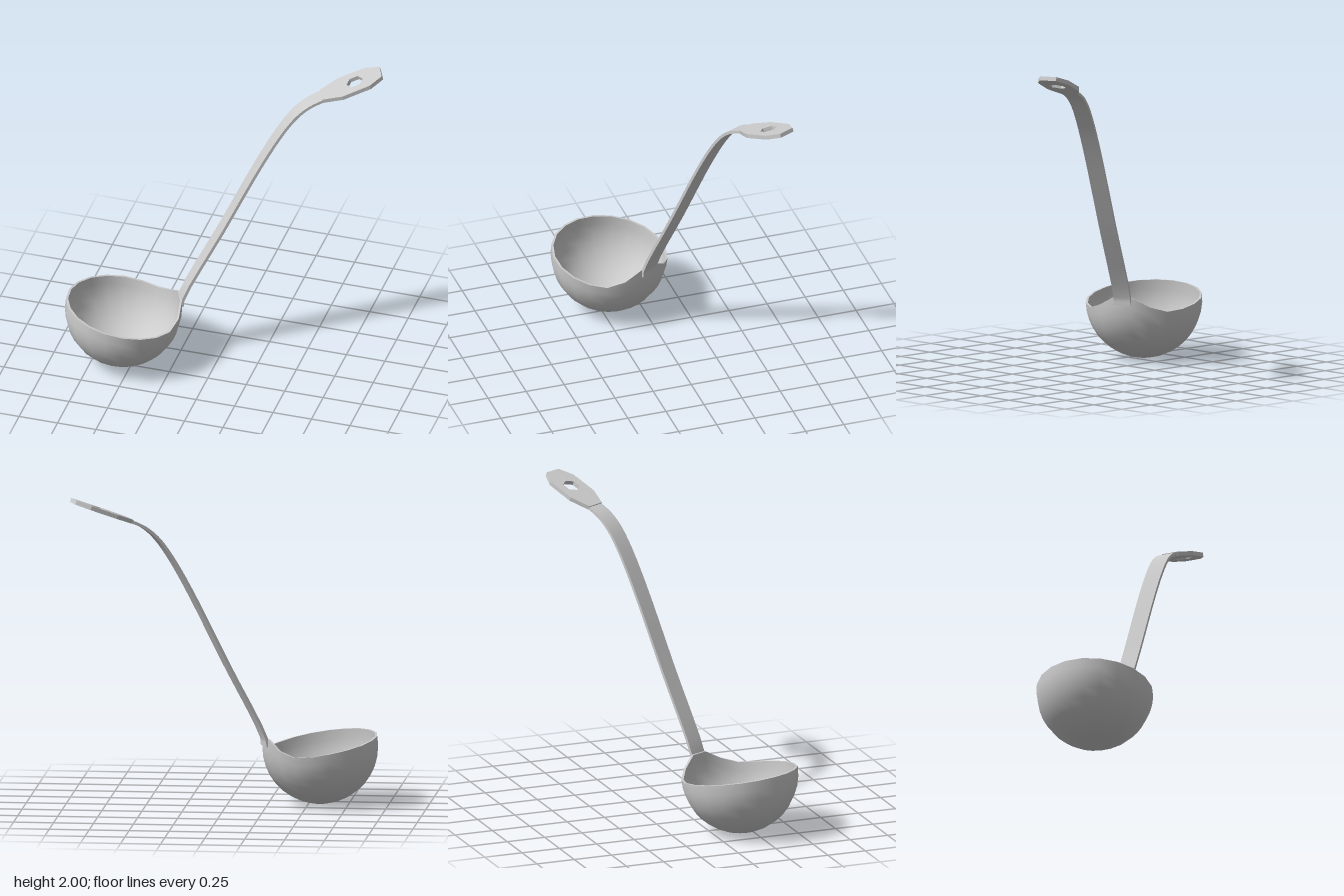
import * as THREE from 'three';
import { toCreasedNormals } from 'three/addons/utils/BufferGeometryUtils.js';

const R = 0.365;        // bowl radius
const WALL = 0.014;     // bowl wall
const SIDES = 20;
const ROWS = 10;

const material = new THREE.MeshStandardMaterial({ color: 0xcccccc });

function part(name, geometry, crease = 0.6) {
  const mesh = new THREE.Mesh(toCreasedNormals(geometry, crease), material);
  mesh.name = name;
  return mesh;
}

// Rim slopes down towards the handle, then sweeps up to meet it
function rimHeight(side, angle) {
  const fromHandle = Math.min(side, SIDES - 1 - side);
  return [0.43, 0.37, 0.337][fromHandle] ?? 0.375 - 0.172 * R * Math.cos(angle);
}

// Thick hemisphere: outer skin up to the rim, inner skin back down
function bowlGeometry() {
  const position = [], index = [];
  const rings = 2 * (ROWS + 1);
  for (let k = 0; k < rings; k++) {
    const outer = k <= ROWS;
    const t = (outer ? k : rings - 1 - k) / ROWS;
    const r = outer ? R : R - WALL;
    for (let s = 0; s < SIDES; s++) {
      const a = ((s + 0.5) / SIDES) * Math.PI * 2;
      const theta = t * Math.acos((R - rimHeight(s, a)) / r);
      const atHandle = s === 0 || s === SIDES - 1;
      const radial = r * (atHandle && theta > Math.PI / 2 ? 1 : Math.sin(theta));
      position.push(radial * Math.cos(a), R - r * Math.cos(theta), radial * Math.sin(a));
    }
  }
  for (let k = 0; k < rings - 1; k++) {
    for (let s = 0; s < SIDES; s++) {
      const n = (s + 1) % SIDES;
      const a = k * SIDES + s, b = k * SIDES + n;
      const c = a + SIDES, d = b + SIDES;
      if (k > 0) index.push(a, d, b);            // skip collapsed faces at the poles
      if (k < rings - 2) index.push(a, c, d);
      else index.push(a, c, b);
    }
  }
  // remove the collapsed pole triangles of the last ring
  const g = new THREE.BufferGeometry();
  g.setAttribute('position', new THREE.Float32BufferAttribute(position, 3));
  g.setIndex(index);
  return g;
}

// Flat strip bent along a side profile
function shaftGeometry() {
  const width = 0.11, half = 0.009;
  const curve = new THREE.CatmullRomCurve3([
    [0.362, 0.38], [0.368, 0.43], [0.62, 0.92], [0.87, 1.41], [1.0, 1.63],
    [1.085, 1.74], [1.165, 1.805], [1.26, 1.85],
  ].map(([u, y]) => new THREE.Vector3(u, y, 0)), false, 'centripetal');
  const upper = [], lower = [];
  for (let i = 0; i <= 28; i++) {
    const p = curve.getPoint(i / 28), d = curve.getTangent(i / 28);
    upper.push(new THREE.Vector2(p.x - d.y * half, p.y + d.x * half));
    lower.unshift(new THREE.Vector2(p.x + d.y * half, p.y - d.x * half));
  }
  const g = new THREE.ExtrudeGeometry(new THREE.Shape([...upper, ...lower]),
    { depth: width, bevelEnabled: false });
  return g.translate(0, 0, -width / 2);
}

// Angular hanging plate with a hexagonal hole
function plateGeometry() {
  const depth = 0.026;
  const edge = [[0, 0.056], [0.126, 0.104], [0.309, 0.102], [0.398, 0.053]];
  const outline = [
    ...edge.map(([u, w]) => new THREE.Vector2(u, -w)),
    ...edge.reverse().map(([u, w]) => new THREE.Vector2(u, w)),
  ];
  const shape = new THREE.Shape(outline);
  const hole = [];
  for (let i = 0; i < 6; i++) {
    const a = -i * Math.PI / 3;
    hole.push(new THREE.Vector2(0.224 + 0.054 * Math.cos(a), 0.054 * Math.sin(a)));
  }
  shape.holes.push(new THREE.Path(hole));
  const g = new THREE.ExtrudeGeometry(shape, { depth, bevelEnabled: false });
  return g.translate(0, 0, -depth / 2).rotateX(-Math.PI / 2);
}

export function createModel() {
  const model = new THREE.Group();
  model.name = 'ladle';

  // Local +x runs from the bowl along the handle
  const ladle = new THREE.Group();
  ladle.name = 'ladleBody';
  ladle.position.set(-0.57, 0, 0.18);
  ladle.rotation.y = THREE.MathUtils.degToRad(24.5);
  model.add(ladle);

  ladle.add(part('bowl', bowlGeometry()));
  ladle.add(part('handleShaft', shaftGeometry()));

  const plate = part('hangingPlate', plateGeometry(), 0.3);
  plate.position.set(1.247, 1.847, 0);
  plate.rotation.z = THREE.MathUtils.degToRad(20.6);
  ladle.add(plate);
  return model;
}
